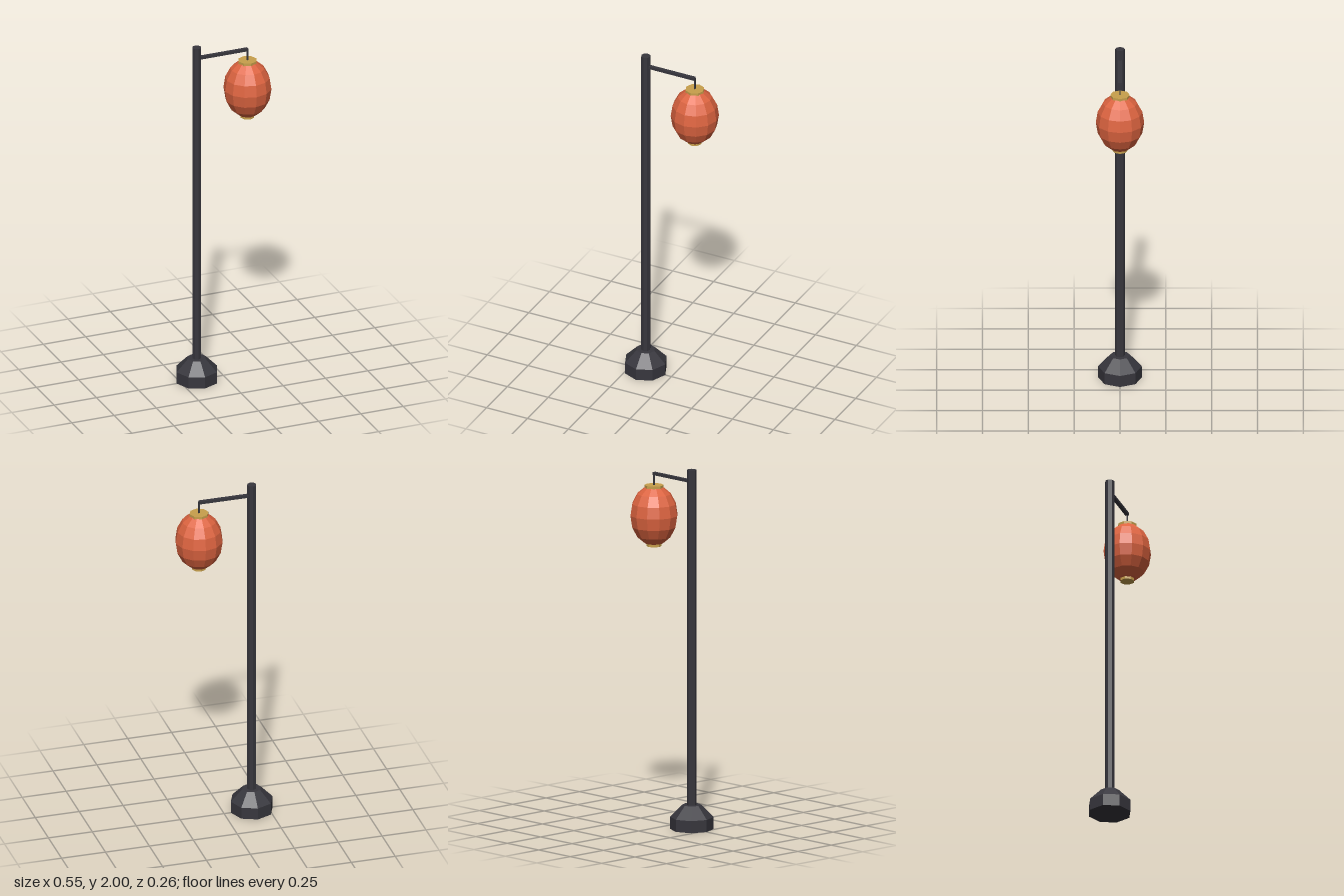
import * as THREE from 'three';

const mat = (name, color) => {
  const m = new THREE.MeshStandardMaterial({ color, flatShading: true });
  m.name = name;
  return m;
};

export function createModel() {
  const iron = mat('dark iron', 0x37363d);
  const red = mat('red paper', 0xdd6440);
  const gold = mat('gold', 0xc8a04c);
  const model = new THREE.Group();
  model.name = 'lanternPost';

  const add = (parent, name, geometry, material, x, y) => {
    const mesh = new THREE.Mesh(geometry, material);
    mesh.name = name;
    mesh.position.set(x, y, 0);
    parent.add(mesh);
    return mesh;
  };
  // Eight-sided drum between two heights
  const drum = (parent, name, material, x, y0, y1, rBottom, rTop = rBottom) =>
    add(parent, name, new THREE.CylinderGeometry(rTop, rBottom, y1 - y0, 8), material, x, (y0 + y1) / 2);

  const poleX = -0.157, lampX = 0.143;

  // Post with stepped foot
  drum(model, 'foot', iron, poleX, 0, 0.067, 0.119);
  drum(model, 'footTaper', iron, poleX, 0.067, 0.135, 0.119, 0.053);
  drum(model, 'pole', iron, poleX, 0.13, 2, 0.026);

  // Side arm and thin hanger
  add(model, 'arm', new THREE.BoxGeometry(lampX - poleX, 0.016, 0.02), iron, (lampX + poleX) / 2, 1.935);
  add(model, 'hanger', new THREE.BoxGeometry(0.008, 0.075, 0.008), iron, lampX, 1.902);

  // Lantern: faceted ellipsoid with gold collars
  const lantern = new THREE.Group();
  lantern.name = 'lantern';
  lantern.position.x = lampX;
  model.add(lantern);
  const body = new THREE.SphereGeometry(0.132, 12, 8);
  body.scale(1, 0.168 / 0.132, 1);
  add(lantern, 'lanternBody', body, red, 0, 1.703);
  drum(lantern, 'topCap', gold, 0, 1.838, 1.871, 0.053);
  drum(lantern, 'bottomCap', gold, 0, 1.53, 1.562, 0.04);

  return model;
}
